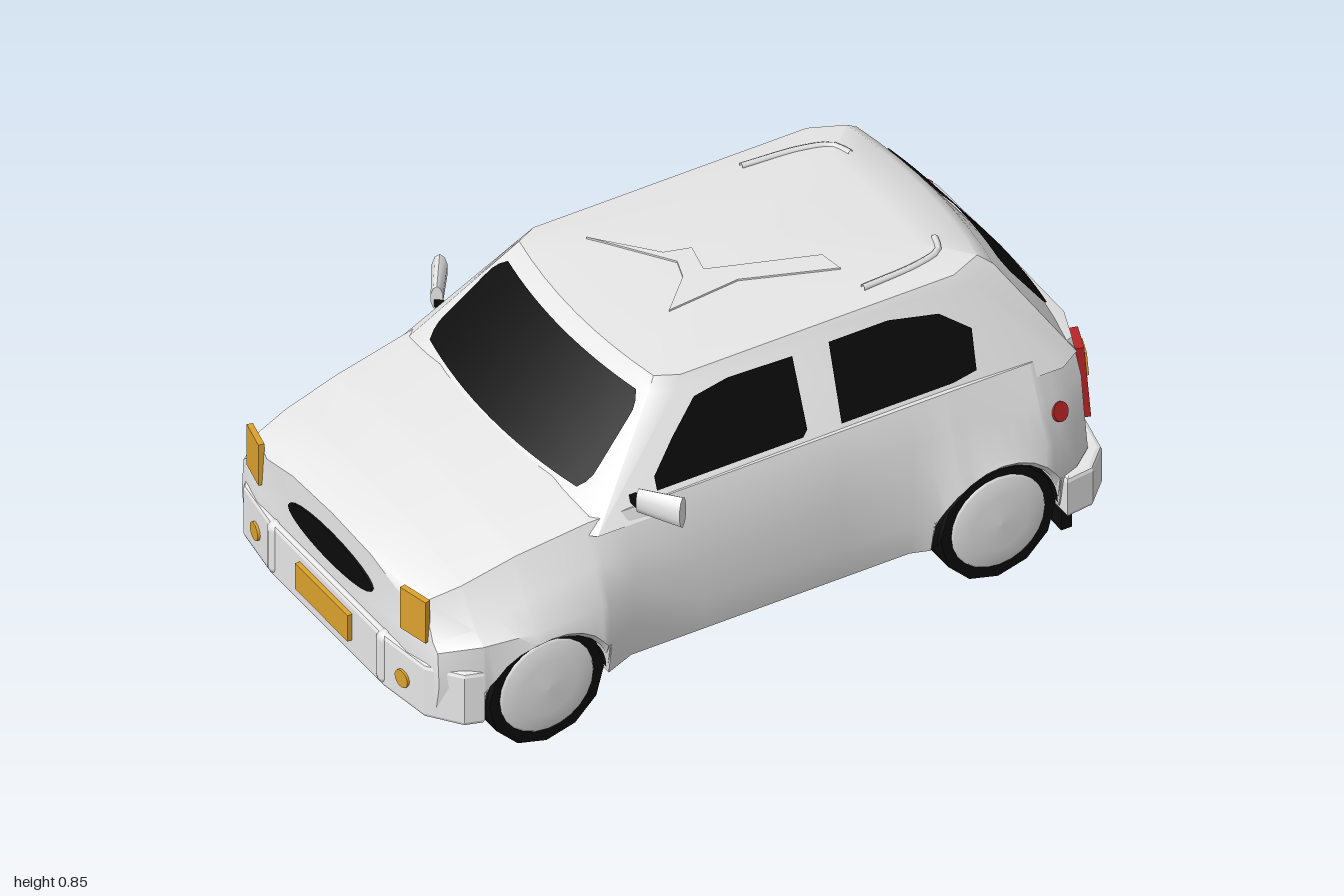
import * as THREE from 'three';
import { toCreasedNormals } from 'three/addons/utils/BufferGeometryUtils.js';

const mat = (name, color, side = THREE.FrontSide) => {
  const m = new THREE.MeshStandardMaterial({ color, side });
  m.name = name;
  return m;
};

// Closed skin through equal-length rings of [x, y, z], capped at both ends
function loft(rings, crease = 0.6) {
  const n = rings[0].length, pos = rings.flat(2), idx = [];
  for (let i = 0; i < rings.length - 1; i++) for (let j = 0; j < n; j++) {
    const a = i * n + j, b = i * n + (j + 1) % n;
    idx.push(a, b, a + n, b, b + n, a + n);
  }
  [0, rings.length - 1].forEach((r, e) => {
    const c = pos.length / 3;
    for (let k = 0; k < 3; k++) pos.push(rings[r].reduce((s, p) => s + p[k], 0) / n);
    for (let j = 0; j < n; j++) {
      const a = r * n + j, b = r * n + (j + 1) % n;
      e ? idx.push(a, b, c) : idx.push(b, a, c);
    }
  });
  // Turn the faces outward when the enclosed volume comes out negative
  const at = i => new THREE.Vector3().fromArray(pos, i * 3);
  let volume = 0;
  for (let i = 0; i < idx.length; i += 3) volume += at(idx[i]).dot(at(idx[i + 1]).cross(at(idx[i + 2])));
  if (volume < 0) idx.reverse();
  const g = new THREE.BufferGeometry();
  g.setAttribute('position', new THREE.Float32BufferAttribute(pos, 3));
  g.setIndex(idx);
  return toCreasedNormals(g, crease);
}

// Body keys: x, flare width, waist width, shoulder width, shoulder y, crown y
const KEYS = [
  [-0.97, 0.36, 0.33, 0.31, 0.45, 0.485], [-0.945, 0.47, 0.44, 0.40, 0.46, 0.495],
  [-0.85, 0.53, 0.48, 0.42, 0.485, 0.525], [-0.70, 0.55, 0.485, 0.43, 0.525, 0.56],
  [-0.50, 0.54, 0.49, 0.445, 0.56, 0.595], [-0.40, 0.50, 0.49, 0.46, 0.57, 0.60],
  [0.40, 0.50, 0.495, 0.465, 0.575, 0.60], [0.52, 0.54, 0.50, 0.465, 0.575, 0.60],
  [0.76, 0.545, 0.50, 0.46, 0.57, 0.59], [0.86, 0.505, 0.47, 0.43, 0.565, 0.58],
  [0.915, 0.455, 0.445, 0.41, 0.56, 0.57], [0.96, 0.34, 0.33, 0.30, 0.55, 0.56],
];
const WHEELS = [{ x: -0.665, rise: 0.86 }, { x: 0.632, rise: 0.98 }];
const TYRE = 0.165, ARCH = 0.177;

function bodySection(x) {
  let i = 0;
  while (i < KEYS.length - 2 && x > KEYS[i + 1][0]) i++;
  const a = KEYS[i], b = KEYS[i + 1], t = (x - a[0]) / (b[0] - a[0]);
  const [, wl, wm, ws, ys, yt] = a.map((v, k) => v + (b[k] - v) * t);
  const floor = x > 0.83 ? 0.2 : 0.135;
  let yb = floor;
  for (const w of WHEELS) {
    const d = Math.abs(x - w.x);
    if (d < ARCH + 0.001) yb = 0.16 + Math.sqrt(Math.max(0, ARCH * ARCH - d * d)) * w.rise;
  }
  const inner = Math.min(0.34, wl - 0.04);
  const half = [[inner, floor], [inner, yb], [wl - 0.02, yb], [wl, Math.max(yb + 0.02, 0.24)],
    [wl * 0.985, Math.max(yb + 0.035, Math.min(0.36, ys - 0.12))], [wm, ys - 0.1], [ws, ys], [ws * 0.6, yt - 0.008]];
  const ring = [[0, floor], ...half, [0, yt], ...half.map(([z, y]) => [-z, y]).reverse()];
  const lean = Math.max(0, x - 0.8) / 0.16 * 0.08;
  return ring.map(([z, y]) => [x + (0.45 - y) * lean, y, z]);
}

// Cabin walls lean inward linearly with height
const lerp = (y, a, b) => a + (b - a) * (y - 0.55) / 0.25;
const cabin = y => ({ xf: lerp(y, -0.56, -0.295), xb: lerp(y, 0.95, 0.765), hw: lerp(y, 0.465, 0.365) });
function cabinRing(y, { xf, xb, hw }) {
  const p = [], a = hw - 0.03, b = hw - 0.04;
  for (let i = 0; i <= 8; i++) { const z = a * (i / 4 - 1); p.push([xf + 0.3 * z * z, y, z]); }
  p.push([xf + 0.09, y, hw], [xb - 0.12, y, hw]);
  for (let i = 0; i <= 8; i++) { const z = b * (1 - i / 4); p.push([xb - 0.3 * z * z, y, z]); }
  p.push([xb - 0.12, y, -hw], [xf + 0.09, y, -hw]);
  return p;
}

// Curved glass on the front (end = -1) or back (end = 1) of the cabin
function endPane(end, y0, y1, w0, w1, round) {
  const g = new THREE.PlaneGeometry(1, 1, 16, 12), p = g.attributes.position;
  for (let i = 0; i < p.count; i++) {
    const t = p.getY(i) + 0.5, y = y0 + (y1 - y0) * t, c = cabin(y);
    const edge = Math.max(0, Math.abs(t - 0.5) - 0.3) / 0.2;
    const z = p.getX(i) * 2 * (w0 + (w1 - w0) * t - round * edge * edge);
    p.setXYZ(i, (end < 0 ? c.xf : c.xb) + end * (0.008 - 0.3 * z * z), y, z);
  }
  g.computeVertexNormals();
  return g;
}

function sidePane(points, s) {
  const g = new THREE.ShapeGeometry(new THREE.Shape(points.map(q => new THREE.Vector2(...q)))), p = g.attributes.position;
  for (let i = 0; i < p.count; i++) p.setZ(i, s * (cabin(p.getY(i)).hw + 0.006));
  g.computeVertexNormals();
  return g;
}

// Slab from half a plan outline in x, z, mirrored across the centre line
function slab(half, top, height, bevel = 0.012) {
  const pts = [...half, ...half.map(([x, z]) => [x, -z]).reverse()].map(q => new THREE.Vector2(...q));
  const g = new THREE.ExtrudeGeometry(new THREE.Shape(pts), { depth: height - 2 * bevel, bevelThickness: bevel,
    bevelSize: bevel, bevelOffset: -bevel, bevelSegments: 2 });
  return g.rotateX(Math.PI / 2).translate(0, top - bevel, 0);
}

export function createModel() {
  const car = new THREE.Group();
  car.name = 'car';
  const paint = mat('pale grey paint', 0xececec, THREE.DoubleSide);
  const black = mat('black', 0x0b0b0b, THREE.DoubleSide);
  const amber = mat('amber', 0xdca22e);
  const red = mat('red', 0xb82226);
  const add = (name, geo, m, x = 0, y = 0, z = 0, rx = 0, ry = 0, rz = 0) => {
    const mesh = new THREE.Mesh(geo, m);
    mesh.name = name;
    mesh.position.set(x, y, z);
    mesh.rotation.set(rx, ry, rz);
    car.add(mesh);
  };
  const box = (w, h, d) => new THREE.BoxGeometry(w, h, d);

  // Lower body with wheel arches
  const xs = KEYS.map(k => k[0]).concat([-0.2, 0, 0.2]);
  for (const w of WHEELS) {
    xs.push(w.x - ARCH - 0.004, w.x + ARCH + 0.004);
    for (let i = 0; i <= 12; i++) xs.push(w.x + ARCH * Math.cos(i * Math.PI / 12));
  }
  add('lowerBody', loft(xs.sort((a, b) => a - b).map(bodySection)), paint);

  // Cabin and roof
  add('cabin', loft([
    cabinRing(0.53, cabin(0.53)), cabinRing(0.8, cabin(0.8)),
    cabinRing(0.83, { xf: -0.27, xb: 0.725, hw: 0.35 }),
    cabinRing(0.842, { xf: -0.1, xb: 0.6, hw: 0.24 }),
  ]), paint);
  add('windscreen', endPane(-1, 0.6, 0.795, 0.375, 0.33, 0.025), black);
  add('rearWindow', endPane(1, 0.568, 0.755, 0.295, 0.29, 0.03), black);

  // Roof trim
  const star = new THREE.Shape([[-0.1, -0.23], [0.03, -0.08], [0.1, -0.06], [0.08, 0.03], [0.36, 0.13], [0.37, 0.2],
    [0.13, 0.11], [-0.08, 0.13], [0.02, 0.03], [0.04, -0.03]].map(q => new THREE.Vector2(...q)));
  add('roofTrim', new THREE.ExtrudeGeometry(star, { depth: 0.006, bevelEnabled: false }).rotateX(Math.PI / 2), paint, 0, 0.847);

  // Bumpers, the rear one hollow behind its face
  add('frontBumper', slab([[-0.85, 0.53], [-0.9, 0.515], [-0.965, 0.43], [-0.987, 0.27]], 0.29, 0.16), paint);
  add('rearBumper', slab([[0.945, 0.3], [0.885, 0.45], [0.82, 0.47], [0.82, 0.535], [0.9, 0.525], [0.965, 0.46],
    [1.0, 0.3]], 0.235, 0.12), paint);
  add('rearBumperGap', box(0.008, 0.006, 0.2), black, 0.978, 0.239, 0.05);

  // Grille, plates and tailgate handle
  add('grille', new THREE.CylinderGeometry(1, 1, 0.008, 24).rotateZ(Math.PI / 2).scale(1, 0.045, 0.2), black, -0.972, 0.38);
  add('frontPlate', box(0.014, 0.08, 0.25), amber, -0.993, 0.22);
  add('rearPlate', box(0.012, 0.1, 0.28), amber, 0.968, 0.38, 0, 0, 0, 0.08);
  add('tailgateHandle', box(0.022, 0.016, 0.29), paint, 0.967, 0.437);

  for (const s of [1, -1]) {
    // Side glass
    add('frontDoorWindow', sidePane([[-0.31, 0.59], [0.11, 0.59], [0.125, 0.605], [0.125, 0.785], [-0.06, 0.79],
      [-0.16, 0.775], [-0.24, 0.7], [-0.31, 0.625]], s), black);
    add('rearDoorWindow', sidePane([[0.22, 0.59], [0.54, 0.59], [0.61, 0.6], [0.62, 0.7], [0.54, 0.76],
      [0.4, 0.787], [0.23, 0.787]], s), black);

    // Lamps
    add('headlight', box(0.016, 0.125, 0.09), amber, -0.96, 0.415, s * 0.38, 0, s * 0.22, 0);
    add('fogLamp', new THREE.CylinderGeometry(0.025, 0.025, 0.01, 16).rotateZ(Math.PI / 2), amber, -0.978, 0.205, s * 0.35, 0, s * 0.14, 0);
    add('tailLamp', box(0.024, 0.215, 0.088), red, 0.946, 0.42, s * 0.385, 0, -s * 0.36, 0.08);
    add('rearIndicator', box(0.008, 0.07, 0.06), amber, 0.96, 0.46, s * 0.383, 0, -s * 0.36, 0.08);
    add('sideMarker', new THREE.CylinderGeometry(0.026, 0.026, 0.014, 16).rotateX(Math.PI / 2), red, 0.82, 0.42, s * 0.496, -s * 0.4, s * 0.3, 0);

    // Overriders, mirrors, roof rails and mud flaps
    add('overrider', new THREE.CapsuleGeometry(0.024, 0.11, 4, 10), paint, -0.972, 0.215, s * 0.26);
    const shell = new THREE.CylinderGeometry(0.046, 0.036, 0.12, 10).scale(0.45, 1, 1).rotateX(s * Math.PI / 2);
    add('mirror', toCreasedNormals(shell, 0.8), paint, -0.345, 0.604, s * 0.53, 0, s * 0.6, 0);
    add('mirrorStalk', box(0.02, 0.02, 0.06), black, -0.375, 0.59, s * 0.455);
    const rail = new THREE.CatmullRomCurve3([[0.38, 0.84, 0.29], [0.55, 0.838, 0.275], [0.62, 0.836, 0.25], [0.64, 0.836, 0.2]]
      .map(([x, y, z]) => new THREE.Vector3(x, y, s * z)));
    add('roofRail', new THREE.TubeGeometry(rail, 12, 0.009, 6), paint);
    add('mudFlap', box(0.03, 0.09, 0.1), black, 0.845, 0.09, s * 0.44);

    // Wheels with domed hubcaps, inside dark wheel wells
    for (const { x, rise } of WHEELS) {
      const liner = new THREE.CylinderGeometry(ARCH - 0.004, ARCH - 0.004, 0.17, 20, 1, true, Math.PI / 2, Math.PI);
      add('wheelWell', liner.rotateX(Math.PI / 2).scale(1, rise, 1), black, x, 0.158, s * 0.43);
      add('wheelWellWall', new THREE.CircleGeometry(ARCH - 0.004, 20, 0, Math.PI).scale(1, rise, 1), black, x, 0.158, s * 0.344);
      add('tyre', toCreasedNormals(new THREE.CylinderGeometry(TYRE, TYRE, 0.14, 12).rotateX(Math.PI / 2), 0.6), black, x, TYRE, s * 0.447);
      const cap = new THREE.LatheGeometry([[0.135, 0], [0.13, 0.008], [0.08, 0.014], [0, 0.018]]
        .map(q => new THREE.Vector2(...q)), 24);
      add('hubcap', cap, paint, x, TYRE + 0.005, s * 0.516, s * Math.PI / 2);
      add('innerWheel', new THREE.CircleGeometry(0.1, 20), paint, x, TYRE, s * 0.375, 0, s > 0 ? Math.PI : 0, 0);
    }
  }
  add('wingIndicator', box(0.03, 0.02, 0.01), amber, -0.45, 0.46, -0.492);

  // Underside
  add('frontUndertray', box(0.34, 0.008, 0.66), black, -0.665, 0.131);
  add('rearAxle', box(0.07, 0.05, 0.78), black, 0.632, 0.14);
  add('silencer', box(0.09, 0.07, 0.32), paint, 0.885, 0.135, 0.02);
  return car;
}
